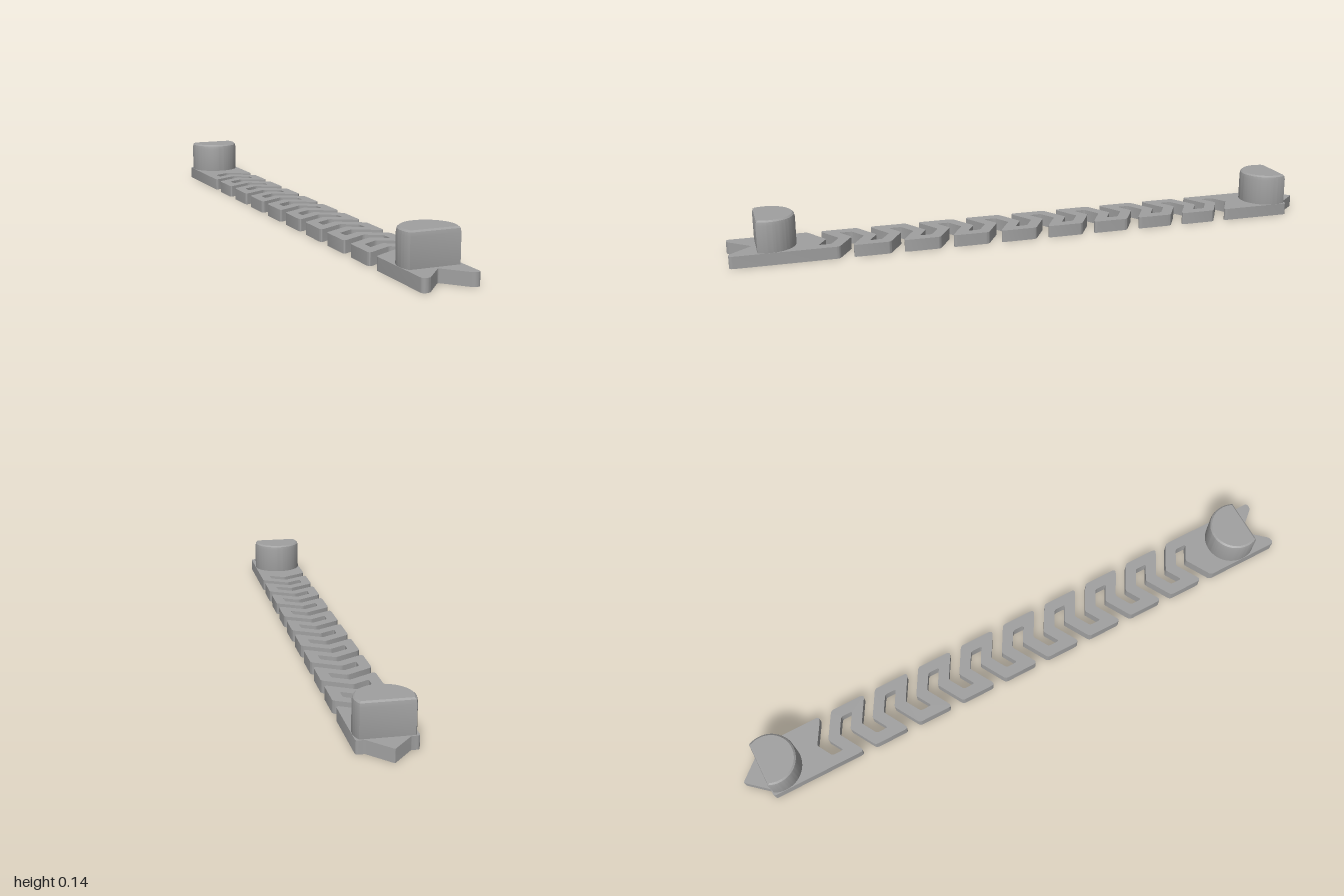
import * as THREE from 'three';
import { toCreasedNormals } from 'three/addons/utils/BufferGeometryUtils.js';

const W = 0.088;          // half width of the strip
const THICK = 0.04;       // strip thickness
const SLOTS = 18;         // alternating chevron slots
const PITCH = 0.0815;
const GAP = 0.04;         // slot width along z
const SLOPE = 0.58;       // chevron slope
const FIRST = -0.735;     // apex of the first slot
const INNER = 0.053;      // closed end of each slot

// Closed shape from [x, z, cornerCut] points, each corner softened by its cut
function roundedShape(points) {
  const shape = new THREE.Shape();
  const n = points.length;
  const at = (i) => new THREE.Vector2(points[i][0], -points[i][1]);
  for (let i = 0; i < n; i++) {
    const p = at(i), prev = at((i + n - 1) % n), next = at((i + 1) % n);
    const cut = points[i][2] || 0;
    const a = p.clone().add(prev.sub(p).setLength(cut));
    const b = p.clone().add(next.sub(p).setLength(cut));
    if (i === 0) shape.moveTo(a.x, a.y);
    else shape.lineTo(a.x, a.y);
    if (cut > 0) shape.quadraticCurveTo(p.x, p.y, b.x, b.y);
  }
  shape.closePath();
  return shape;
}

// Chevron slot cut in from the side s (+1 or -1), listed back to front
function slot(k, s) {
  const z = FIRST + k * PITCH;
  return [
    [s * W, z + SLOPE * W, 0.017],
    [0, z, 0.006],
    [-s * INNER, z + SLOPE * INNER, 0.007],
    [-s * INNER, z + SLOPE * INNER + GAP, 0.007],
    [0, z + GAP, 0.006],
    [s * W, z + SLOPE * W + GAP, 0.01],
  ];
}

// Spring strip: arrow tip at the back, matching notch at the front
function stripShape() {
  const right = [], left = [];
  for (let k = 0; k < SLOTS; k++) {
    if (k % 2 === 0) right.push(...slot(k, 1));
    else left.push(...slot(k, -1));
  }
  return roundedShape([
    [0, -1, 0.003], [0.062, -0.93, 0.003], [W, -0.93, 0.01],
    ...right,
    [W, 1, 0.012], [0.066, 1, 0.01], [0, 0.925, 0.008], [-0.066, 1, 0.01], [-W, 1, 0.012],
    ...left.reverse(),
    [-W, -0.93, 0.01], [-0.062, -0.93, 0.003],
  ]);
}

// D-shaped peg with its flat facing along dir
function pegGeometry(dir) {
  const r = 0.087, flat = 0.04;
  const a = Math.asin(flat / r);
  const shape = new THREE.Shape();
  shape.absarc(0, 0, r, a, Math.PI - a, true);
  shape.closePath();
  const g = new THREE.ExtrudeGeometry(shape, {
    depth: 0.092, curveSegments: 40,
    bevelEnabled: true, bevelSize: 0.008, bevelOffset: -0.008, bevelThickness: 0.016, bevelSegments: 2,
  });
  g.rotateX(-Math.PI / 2);
  if (dir > 0) g.rotateY(Math.PI);
  g.translate(0, 0.036, 0);
  return toCreasedNormals(g, 0.5);
}

export function createModel() {
  const group = new THREE.Group();
  group.name = 'springStrap';
  const grey = new THREE.MeshStandardMaterial({ color: 0xa0a0a0 });
  grey.name = 'grey';

  const stripGeometry = new THREE.ExtrudeGeometry(stripShape(), {
    depth: THICK, bevelEnabled: false, curveSegments: 5,
  });
  stripGeometry.rotateX(-Math.PI / 2);
  const strip = new THREE.Mesh(toCreasedNormals(stripGeometry, 0.5), grey);
  strip.name = 'springStrip';
  group.add(strip);

  // Pegs near both ends
  for (const [name, dir, z] of [['frontPeg', 1, 0.872], ['backPeg', -1, -0.885]]) {
    const peg = new THREE.Mesh(pegGeometry(dir), grey);
    peg.name = name;
    peg.position.z = z;
    group.add(peg);
  }
  return group;
}
